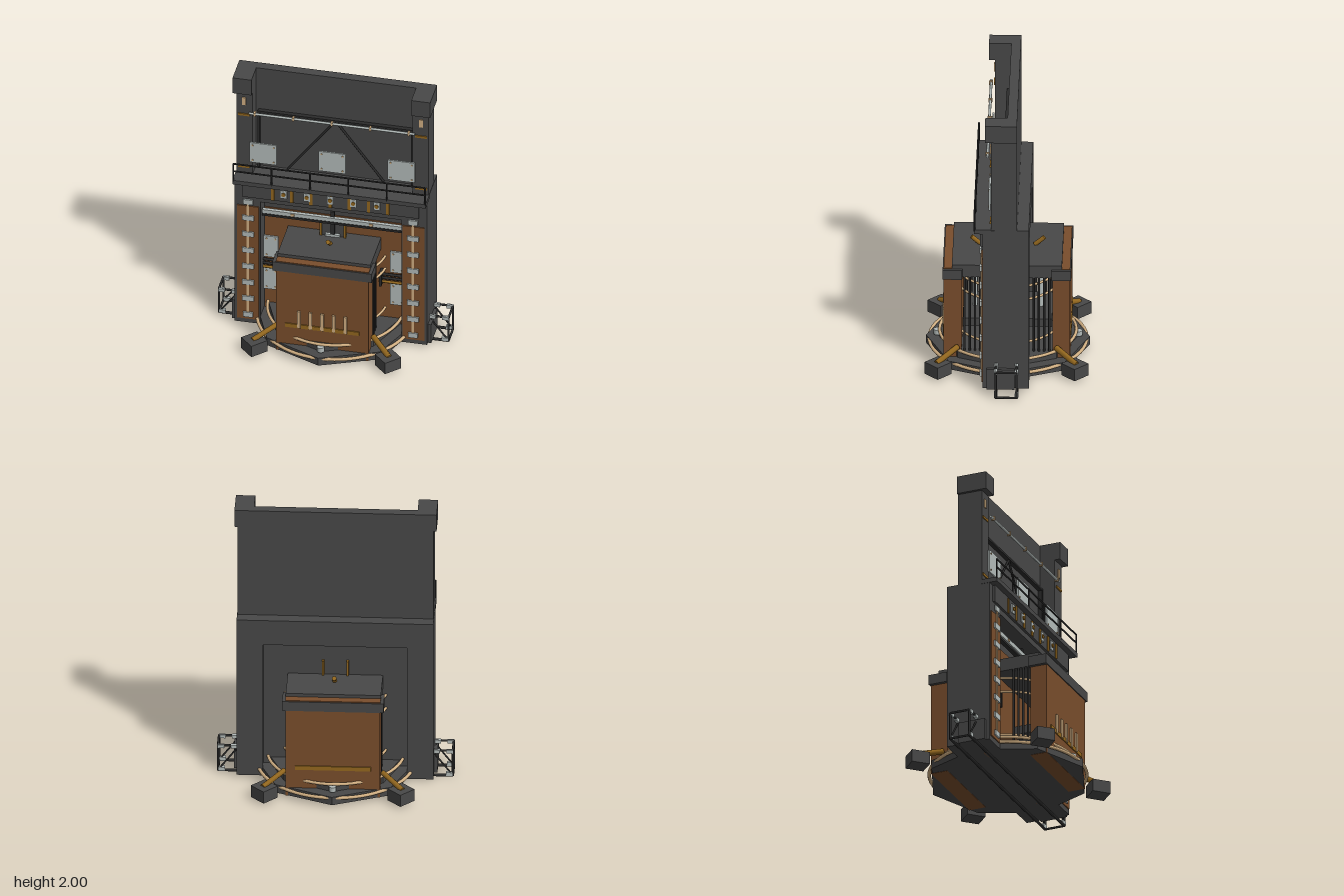
import * as THREE from 'three';

const mat = (name, color) => {
  const m = new THREE.MeshStandardMaterial({ color });
  m.name = name;
  return m;
};

export function createModel() {
  const root = new THREE.Group();
  const grey = mat('dark grey', 0x484848);
  const black = mat('black steel', 0x2b2b2b);
  const brown = mat('brown', 0x7a4e2c);
  const gold = mat('dull gold', 0x94681f);
  const tan = mat('tan', 0xd2b083);
  const silver = mat('silver', 0xb4bcba);

  const add = (name, geo, m, x = 0, y = 0, z = 0) => {
    const mesh = new THREE.Mesh(geo, m);
    mesh.name = name;
    mesh.position.set(x, y, z);
    root.add(mesh);
    return mesh;
  };
  // Box given by its lower and upper limits on each axis
  const box = (name, m, x0, x1, y0, y1, z0, z1) =>
    add(name, new THREE.BoxGeometry(x1 - x0, y1 - y0, z1 - z0), m, (x0 + x1) / 2, (y0 + y1) / 2, (z0 + z1) / 2);
  // The same box on both sides of x = 0
  const pair = (name, m, x0, x1, ...r) => {
    box(name, m, x0, x1, ...r);
    box(name, m, -x1, -x0, ...r);
  };
  // Straight bar between two points
  const bar = (name, m, a, b, radius = 0.006, sides = 8) => {
    const p = new THREE.Vector3(...a), q = new THREE.Vector3(...b);
    const mesh = add(name, new THREE.CylinderGeometry(radius, radius, p.distanceTo(q), sides), m);
    mesh.position.copy(p).lerp(q, 0.5);
    mesh.quaternion.setFromUnitVectors(new THREE.Vector3(0, 1, 0), q.sub(p).normalize());
    return mesh;
  };
  const ring = (name, m, radius, tube, y) => {
    add(name, new THREE.TorusGeometry(radius, tube, 8, 64), m, 0, y, 0).rotation.x = Math.PI / 2;
  };
  // Silver plate with a bolt at each corner
  const plate = (x, y, z, w, h) => {
    box('plate', silver, x - w / 2, x + w / 2, y - h / 2, y + h / 2, z, z + 0.012);
    for (const i of [-1, 1]) for (const j of [-1, 1]) {
      const bolt = add('bolt', new THREE.CylinderGeometry(0.006, 0.006, 0.006, 8), tan,
        x + i * (w / 2 - 0.02), y + j * (h / 2 - 0.02), z + 0.014);
      bolt.rotation.x = Math.PI / 2;
    }
  };

  // Portal frame and rear wall of the opening
  pair('portalPost', grey, 0.485, 0.662, 0.02, 1.02, -0.155, 0.157);
  box('portalHeader', grey, -0.662, 0.662, 1.02, 1.205, -0.155, 0.157);
  box('openingWall', grey, -0.485, 0.485, 0.02, 1.02, -0.085, 0.03);
  box('openingFacing', brown, -0.48, 0.48, 0.02, 0.9, 0.03, 0.038);
  pair('sideBox', grey, 0.645, 0.685, 0.02, 0.17, -0.06, 0.13);

  // Tower above the portal
  box('towerPanel', grey, -0.55, 0.55, 1.2, 2, -0.075, -0.01);
  pair('towerPost', grey, 0.55, 0.66, 1.2, 1.9, -0.075, 0.1);
  pair('cornerBlock', grey, 0.55, 0.68, 1.875, 2, -0.075, 0.14);
  pair('postTag', tan, 0.597, 0.622, 1.765, 1.825, 0.1, 0.108);
  for (const y of [1.685, 1.26]) pair('postBand', gold, 0.57, 0.65, y - 0.008, y + 0.008, 0.1, 0.108);

  // Truss against the tower panel
  box('trussTop', black, -0.535, 0.535, 1.652, 1.668, -0.01, 0.02);
  pair('trussSide', black, 0.52, 0.535, 1.2, 1.66, -0.01, 0.02);
  for (const s of [-1, 1]) bar('trussDiagonal', black, [0, 1.655, 0.005], [s * 0.33, 1.21, 0.005], 0.008);

  // Upper and lower pipes with clips
  bar('upperPipe', silver, [-0.57, 1.715, 0.125], [0.57, 1.715, 0.125], 0.009);
  for (const x of [-0.53, -0.265, 0, 0.265, 0.53]) box('pipeClip', tan, x - 0.007, x + 0.007, 1.702, 1.73, 0.112, 0.138);
  box('lowerPipe', silver, -0.48, 0.48, 0.908, 0.938, 0.1, 0.125);
  box('lowerPipeRail', black, -0.48, 0.48, 0.885, 0.9, 0.09, 0.12);
  for (const x of [-0.27, 0.27]) box('lowerPipeClip', tan, x - 0.012, x + 0.012, 0.915, 0.932, 0.125, 0.13);
  for (const x of [-0.475, 0, 0.475]) plate(x, 1.39, 0.105, 0.185, 0.16);

  // Balcony with railing
  box('balconyDeck', grey, -0.665, 0.665, 1.18, 1.212, 0.1, 0.215);
  for (const y of [1.345, 1.285]) bar('balconyRail', black, [-0.66, y, 0.21], [0.66, y, 0.21]);
  for (let i = 0; i < 6; i++) {
    const x = -0.66 + i * 0.264;
    bar('balconyPost', black, [x, 1.2, 0.21], [x, 1.345, 0.21]);
  }

  // Header panel with strips and lamps
  box('headerPanel', grey, -0.608, 0.608, 1.06, 1.18, 0.157, 0.175);
  for (let i = -3; i <= 3; i++) box('headerStrip', gold, i * 0.132 - 0.011, i * 0.132 + 0.011, 1.063, 1.17, 0.175, 0.182);
  for (let i = -2; i <= 2; i++) {
    box('lampPlate', silver, i * 0.16 - 0.022, i * 0.16 + 0.022, 1.092, 1.155, 0.175, 0.184);
    add('lamp', new THREE.CylinderGeometry(0.014, 0.014, 0.01, 12), gold, i * 0.16, 1.124, 0.186).rotation.x = Math.PI / 2;
  }

  // Brown pilasters with hinge blocks on the portal posts
  pair('pilaster', brown, 0.495, 0.645, 0.055, 0.98, 0.157, 0.165);
  pair('pilasterRod', tan, 0.56, 0.575, 0.08, 1, 0.165, 0.173);
  for (let i = 0; i < 8; i++) {
    const y = 0.095 + i * 0.132, w = i === 0 || i === 7 ? 0.033 : 0.04;
    pair('hingeBlock', silver, 0.567 - w, 0.567 + w, y - 0.019, y + 0.019, 0.165, 0.177);
  }

  // Fittings on the opening wall
  for (const s of [-1, 1]) {
    for (const y of [0.325, 0.588]) plate(s * 0.435, y, 0.04, 0.1, 0.17);
    for (const y of [0.495, 0.465]) bar('wallBar', black, [s * 0.31, y, 0.07], [s * 0.485, y, 0.07], 0.01);
    bar('wallBar', gold, [s * 0.31, 0.435, 0.07], [s * 0.485, 0.435, 0.07], 0.01);
  }
  pair('barBracket', black, 0.318, 0.335, 0.41, 0.52, 0.04, 0.1);

  // Turntable with two rings
  add('turntable', new THREE.CylinderGeometry(0.55, 0.55, 0.06, 8), grey, 0, 0.05, 0).material.flatShading = true;
  add('turntableTier', new THREE.CylinderGeometry(0.47, 0.47, 0.045, 8), grey, 0, 0.1025, 0);
  ring('outerRing', tan, 0.53, 0.012, 0.065);
  ring('innerRing', tan, 0.46, 0.011, 0.132);

  // Corner feet with sloping beams
  for (const sx of [-1, 1]) for (const sz of [-1, 1]) {
    add('foot', new THREE.BoxGeometry(0.128, 0.088, 0.128), grey, sx * 0.46, 0.064, sz * 0.46).rotation.y = Math.PI / 4;
    bar('footBeam', gold, [sx * 0.47, 0.105, sz * 0.47], [sx * 0.33, 0.16, sz * 0.33], 0.02, 6);
  }

  // Cabin, the same at front and back
  box('cabinRoof', grey, -0.32, 0.32, 0.735, 0.77, -0.37, 0.37);
  box('cabinCeiling', grey, -0.32, 0.32, 0.68, 0.735, -0.31, 0.31);
  for (const s of [-1, 1]) {
    const span = (name, m, x0, x1, y0, y1, a, b) =>
      box(name, m, x0, x1, y0, y1, Math.min(s * a, s * b), Math.max(s * a, s * b));
    span('cabinWall', brown, -0.318, 0.318, 0.018, 0.68, 0.305, 0.425);
    span('cabinCap', grey, -0.342, 0.342, 0.67, 0.74, 0.3, 0.432);
    span('capTopStrip', brown, -0.32, 0.32, 0.74, 0.746, 0.37, 0.425);
    span('cabinStrip', gold, -0.255, 0.255, 0.22, 0.25, 0.425, 0.432);
    for (const x of [-0.313, 0.313]) for (const z of [0.18, 0.215, 0.25, 0.285])
      bar('cabinRod', black, [x, 0.12, s * z], [x, 0.68, s * z], 0.008);
    span('machineBase', grey, -0.2, 0.2, 0.25, 0.31, 0.14, 0.3);
    bar('piston', silver, [0, 0.31, s * 0.22], [0, 0.59, s * 0.22], 0.016, 12);
    bar('roofSpout', gold, [0, 0.77, s * 0.18], [0, 0.825, s * 0.245], 0.016, 8);
    bar('frontRoller', silver, [0, 0.09, s * 0.475], [0, 0.125, s * 0.475], 0.025, 12);
  }
  for (const y of [0.2, 0.52, 0.62]) ring('cabinHoop', tan, 0.35, 0.009, y);
  for (let i = -2; i <= 2; i++) box('cabinSlat', tan, i * 0.08 - 0.011, i * 0.08 + 0.011, 0.225, 0.36, 0.425, 0.437);

  // Hanger above the cabin roof
  pair('hangerStrap', gold, 0.075, 0.09, 0.77, 0.9, 0.08, 0.1);
  box('hangerBox', grey, -0.075, 0.075, 0.77, 0.88, 0.04, 0.09);
  box('hangerPlate', silver, -0.05, 0.05, 0.775, 0.793, 0.09, 0.11);
  box('hangerHook', black, -0.014, 0.014, 0.793, 0.98, 0.09, 0.11);
  pair('rearHangerStrap', gold, 0.075, 0.09, 0.77, 0.88, -0.11, -0.085);

  // Side guard frames joined by two floor rails
  for (const z of [-0.075, 0.065]) {
    bar('floorRail', black, [-0.79, 0.012, z], [0.79, 0.012, z], 0.01);
    for (const s of [-1, 1]) {
      bar('guardPost', black, [s * 0.79, 0.01, z], [s * 0.79, 0.2, z], 0.008);
      bar('guardTop', black, [s * 0.66, 0.2, z], [s * 0.79, 0.2, z], 0.008);
      bar('guardBrace', black, [s * 0.78, 0.025, z], [s * 0.67, 0.17, z], 0.006);
      for (const [x, y] of [[0.77, 0.195], [0.68, 0.195], [0.765, 0.025]])
        box('guardClamp', silver, s * x - 0.022, s * x + 0.022, y - 0.012, y + 0.012, z - 0.012, z + 0.012);
    }
  }
  for (const s of [-1, 1]) for (const y of [0.012, 0.2])
    bar('guardCross', black, [s * 0.79, y, -0.075], [s * 0.79, y, 0.065], 0.008);

  return root;
}
